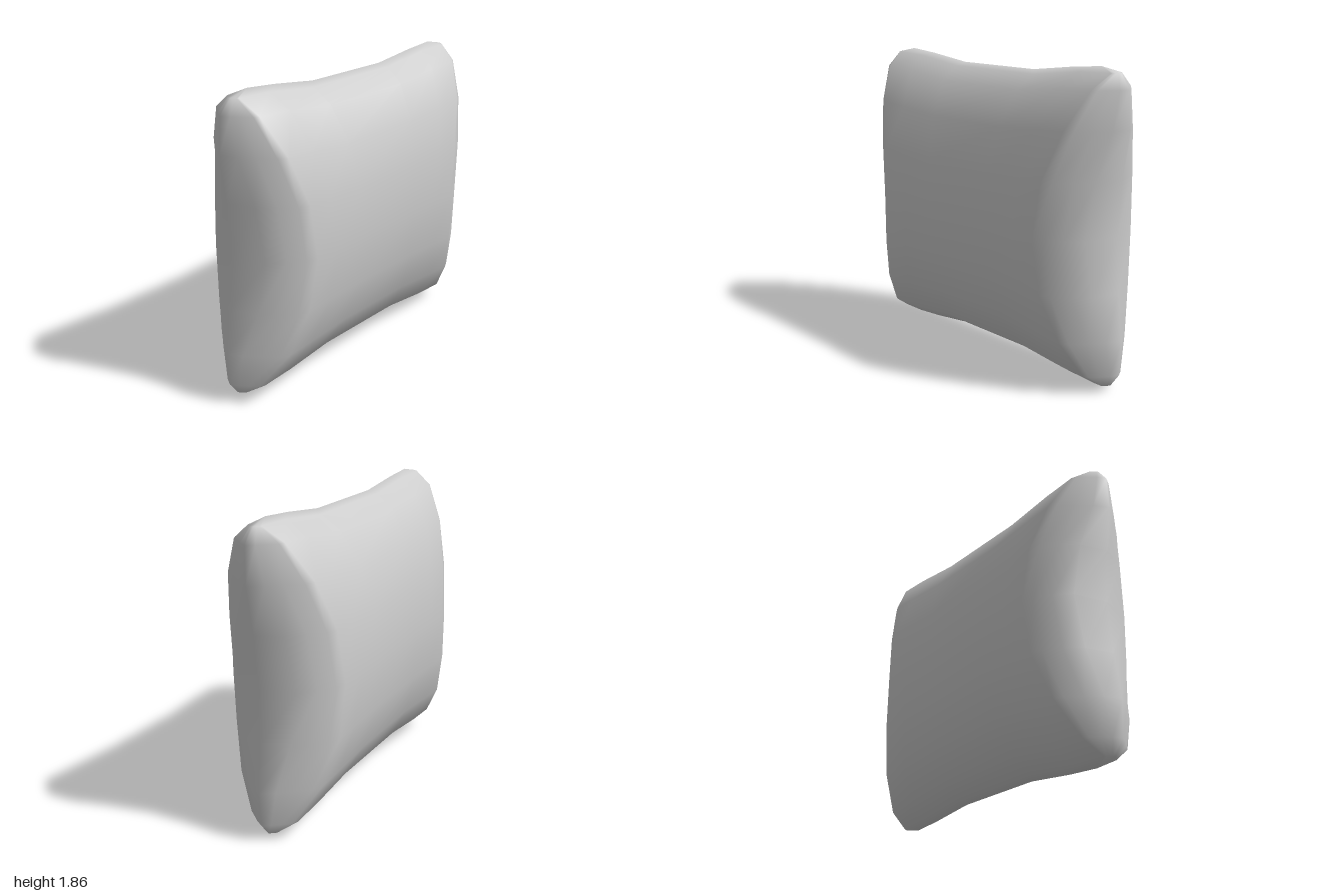
import * as THREE from 'three';
import { mergeVertices } from 'three/addons/utils/BufferGeometryUtils.js';

// Upper half of the cushion rows: [height fraction, half width, half thickness]
const HALF_ROWS = [
  [0, 0.932, 0.362], [0.35, 0.955, 0.342], [0.65, 0.991, 0.273],
  [0.88, 0.98, 0.157], [0.97, 0.922, 0.042], [1, 0.79, 0],
];
const ROWS = [...HALF_ROWS.slice(1).reverse().map(([s, w, a]) => [-s, w, a]), ...HALF_ROWS];

// Rounded side cap, from the seam inwards: [fraction of cap depth, fraction of thickness]
const CAP = [[0, 0], [0.2, 0.55], [0.48, 0.77], [0.77, 0.95], [1, 1]];
const HALF_HEIGHT = 0.858;

// One closed cross-section around the cushion, counter-clockwise seen from above
function crossSection(s, halfWidth, halfThickness) {
  const depth = 0.83 * halfThickness;
  // The side caps get flatter, more pinched, towards the corners
  const pinch = Math.min(1 + 2.3 * s * s, 2);
  const quarter = CAP.map(([d, t]) => [halfWidth - depth * d, halfThickness * t ** pinch]);
  const flat = halfWidth - depth;
  quarter.push([flat * 0.75, halfThickness], [flat * 0.37, halfThickness]);
  const front = [...quarter, ...quarter.slice().reverse().map(([x, z]) => [-x, z])];
  const back = front.slice(1, -1).map(([x, z]) => [-x, -z]);
  return [...front, ...back];
}

function cushionGeometry() {
  const positions = [], index = [];
  ROWS.forEach(([s, w, a], r) => {
    const ring = crossSection(s, w, a), n = ring.length;
    ring.forEach(([x, z], i) => {
      // Corners stretch outwards beyond the middle of the top and bottom edges
      const stretch = 1 + 0.072 * THREE.MathUtils.smoothstep(Math.abs(x), 0.15, 0.83);
      positions.push(x, HALF_HEIGHT * s * stretch, z);
      if (r === ROWS.length - 1) return;
      const p = r * n + i, q = r * n + (i + 1) % n;
      index.push(p, p + n, q, q, p + n, q + n);
    });
  });
  let geometry = new THREE.BufferGeometry();
  geometry.setAttribute('position', new THREE.Float32BufferAttribute(positions, 3));
  geometry.setIndex(index);
  // Weld front and back along the top and bottom seams
  geometry = mergeVertices(geometry, 1e-4);

  // Slight casual tilt, then stand on the ground
  geometry.rotateZ(-0.014);
  geometry.rotateX(0.014);
  geometry.rotateY(0.04);
  geometry.computeBoundingBox();
  const box = geometry.boundingBox, c = box.getCenter(new THREE.Vector3());
  geometry.translate(-c.x, -box.min.y, -c.z);
  geometry.computeVertexNormals();
  return geometry;
}

export function createModel() {
  const group = new THREE.Group();
  group.name = 'pillow';
  const cushion = new THREE.Mesh(
    cushionGeometry(),
    new THREE.MeshStandardMaterial({ color: 0xcccccc }),
  );
  cushion.name = 'cushion';
  group.add(cushion);
  return group;
}
